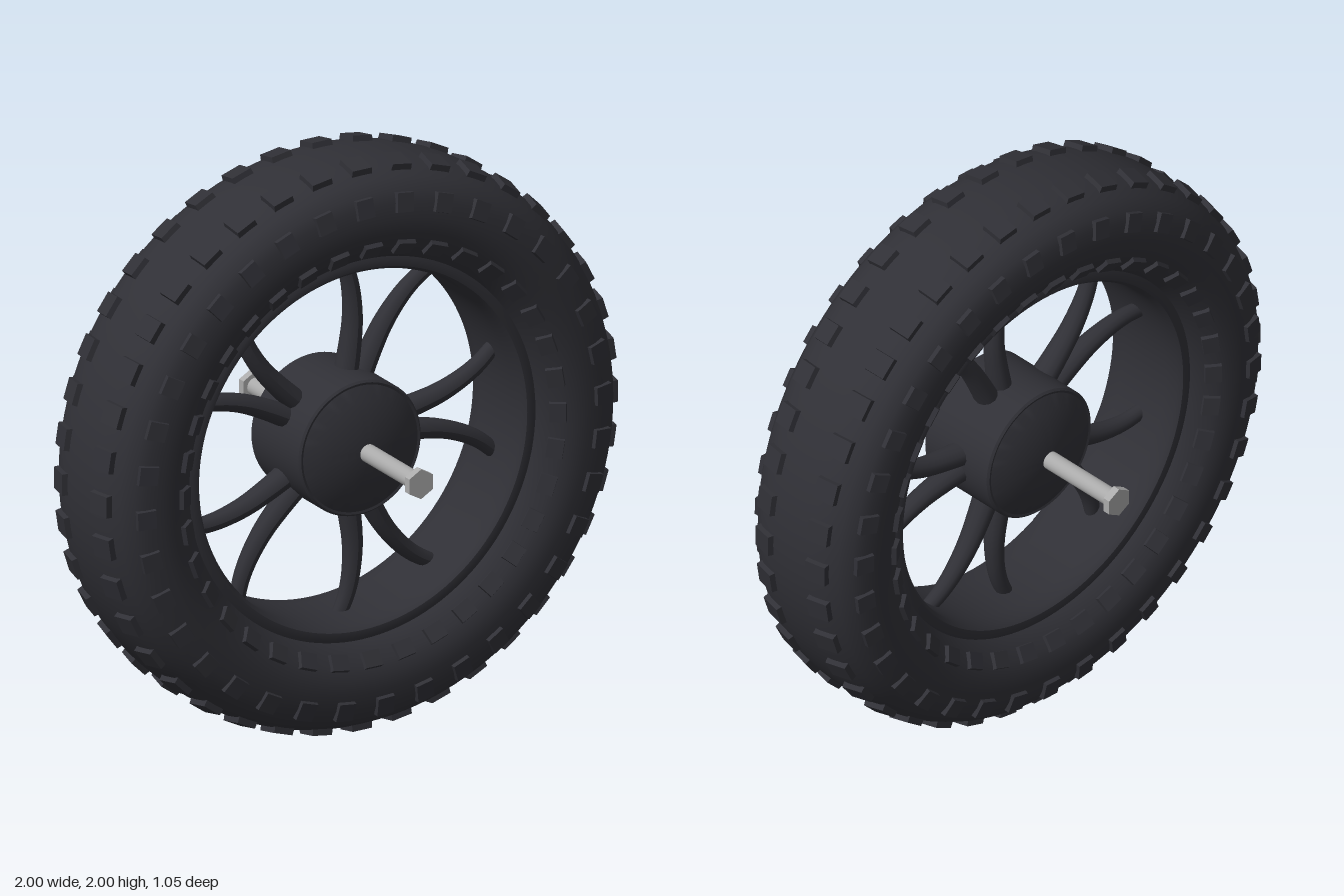
import * as THREE from 'three';
import { mergeGeometries, toCreasedNormals } from 'three/addons/utils/BufferGeometryUtils.js';

const DEG = Math.PI / 180;

// Ring around the z axis from [radius, z] points
function ring(points, segments = 96) {
  return new THREE.LatheGeometry(points.map(([r, z]) => new THREE.Vector2(r, z)), segments).rotateX(Math.PI / 2);
}

// Half profile at z >= 0, continued with its mirror image
function mirrored(half) {
  return [...half.map(([r, z]) => [r, -z]).reverse(), ...half.filter(p => p[1] > 0)];
}

// Slightly tapered tread block; y points out of the rubber
function blockGeometry(width, thickness, length) {
  const geo = new THREE.BoxGeometry(width, thickness, length);
  const p = geo.attributes.position;
  for (let i = 0; i < p.count; i++) {
    if (p.getY(i) > 0) p.setXYZ(i, p.getX(i) * 0.92, p.getY(i), p.getZ(i) * 0.92);
  }
  geo.computeVertexNormals();
  return geo;
}

// Row of blocks around the tyre, on one side (+1 front, -1 back)
function blockRow({ count, phase, r, z, tilt, size }, side) {
  const blocks = [];
  for (let i = 0; i < count; i++) {
    blocks.push(blockGeometry(...size)
      .rotateX(side * tilt * DEG)
      .translate(0, r, side * z)
      .rotateZ(phase * DEG + i / count * Math.PI * 2));
  }
  return mergeGeometries(blocks);
}

// Curved spoke, thicker toward the hub
function spokeGeometry(centre, side) {
  const path = [[0.18, 8], [0.3, 8], [0.4, 9], [0.5, 11.5], [0.57, 14], [0.635, 17]];
  const curve = new THREE.CatmullRomCurve3(path.map(([r, a]) => {
    const t = (centre + side * a) * DEG;
    return new THREE.Vector3(r * Math.sin(t), r * Math.cos(t), 0);
  }));
  const rings = 20, sides = 12;
  const geo = new THREE.TubeGeometry(curve, rings, 1, sides);
  const p = geo.attributes.position;
  const v = new THREE.Vector3();
  for (let i = 0; i <= rings; i++) {
    const t = i / rings;
    const c = curve.getPointAt(t);
    const radius = 0.026 + 0.014 * (1 - t);
    for (let j = 0; j <= sides; j++) {
      const k = i * (sides + 1) + j;
      v.fromBufferAttribute(p, k).sub(c).multiplyScalar(radius);
      v.z *= 1 + 0.25 * (1 - t);
      v.add(c);
      p.setXYZ(k, v.x, v.y, v.z);
    }
  }
  geo.computeVertexNormals();
  return geo;
}

export function createModel() {
  const rubber = new THREE.MeshStandardMaterial({ color: 0x303036 });
  rubber.name = 'charcoal';
  const steel = new THREE.MeshStandardMaterial({ color: 0xaaaaaa });
  steel.name = 'steel grey';

  const model = new THREE.Group();
  model.name = 'wheel';
  const wheel = new THREE.Group();
  wheel.name = 'wheelAssembly';
  wheel.position.y = 1;
  model.add(wheel);

  const add = (name, geometry, material = rubber, parent = wheel) => {
    const mesh = new THREE.Mesh(geometry, material);
    mesh.name = name;
    parent.add(mesh);
    return mesh;
  };

  // Tyre body
  add('tyre', ring(mirrored([
    [0.985, 0], [0.984, 0.05], [0.98, 0.1], [0.97, 0.145], [0.948, 0.19], [0.915, 0.222], [0.877, 0.237],
    [0.82, 0.245], [0.77, 0.24], [0.73, 0.222], [0.695, 0.195], [0.67, 0.17], [0.657, 0.145],
  ]), 120));

  // Inner rim barrel, wound so it faces the hub
  add('rim', toCreasedNormals(ring([
    [0.68, 0.155], [0.655, 0.168], [0.632, 0.166], [0.62, 0.15], [0.617, 0.1],
    [0.617, -0.1], [0.62, -0.15], [0.632, -0.166], [0.655, -0.168], [0.68, -0.155],
  ], 120), 0.6));

  // Tread blocks: crown, shoulder and bead rows on both sides
  const rows = {
    crown: { count: 40, phase: 0, r: 0.972, z: 0.121, tilt: 12, size: [0.08, 0.04, 0.085] },
    shoulder: { count: 36, phase: 2.5, r: 0.877, z: 0.234, tilt: 78, size: [0.068, 0.03, 0.07] },
    bead: { count: 36, phase: 0, r: 0.72, z: 0.214, tilt: 124, size: [0.07, 0.03, 0.06] },
  };
  for (const [name, row] of Object.entries(rows)) {
    add(`${name}BlocksFront`, blockRow(row, 1));
    add(`${name}BlocksBack`, blockRow(row, -1));
  }

  // Hub with domed caps and a small lip
  add('hub', toCreasedNormals(ring(mirrored([
    [0.235, 0], [0.235, 0.145], [0.228, 0.152], [0.22, 0.15], [0.17, 0.174], [0.1, 0.192], [0.05, 0.199], [0, 0.201],
  ]), 64), 0.45));

  // Five mirrored pairs of spokes
  const spokes = new THREE.Group();
  spokes.name = 'spokes';
  wheel.add(spokes);
  for (let i = 0; i < 5; i++) {
    for (const side of [-1, 1]) add('spoke', spokeGeometry(18 + 72 * i, side), rubber, spokes);
  }

  // Axle with a hexagonal bolt head at each end
  add('axle', new THREE.CylinderGeometry(0.031, 0.031, 1.02, 24).rotateX(Math.PI / 2), steel);
  for (const side of [-1, 1]) {
    const head = new THREE.CylinderGeometry(0.052, 0.052, 0.027, 6);
    head.rotateX(Math.PI / 2).translate(0, 0, side * 0.512);
    add(side > 0 ? 'boltHeadFront' : 'boltHeadBack', toCreasedNormals(head, 0.3), steel);
  }
  return model;
}
